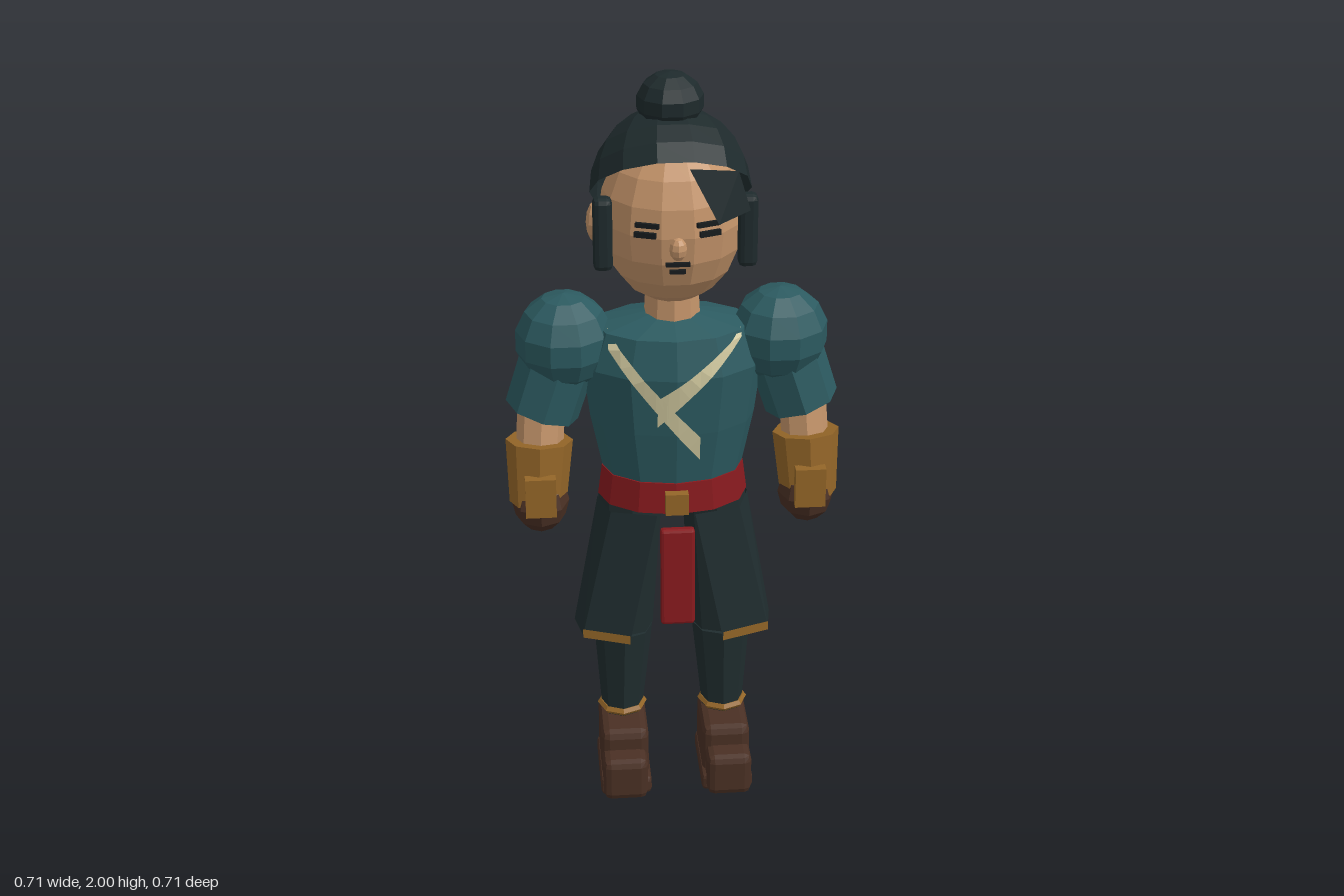
import * as THREE from 'three';
import { RoundedBoxGeometry } from 'three/addons/geometries/RoundedBoxGeometry.js';

const mat = (name, color, side = THREE.FrontSide) => {
  const m = new THREE.MeshStandardMaterial({ color, flatShading: true, side });
  m.name = name;
  return m;
};

// Quad strip between rows of [x, y, z] points of equal length
function loft(rows, closed = false) {
  const n = rows[0].length, pos = rows.flat(2), idx = [];
  for (let r = 0; r < rows.length - 1; r++) {
    for (let i = 0; i < (closed ? n : n - 1); i++) {
      const a = r * n + i, b = r * n + (i + 1) % n;
      idx.push(a, b, a + n, b, b + n, a + n);
    }
  }
  const g = new THREE.BufferGeometry();
  g.setAttribute('position', new THREE.Float32BufferAttribute(pos, 3));
  g.setIndex(idx);
  g.computeVertexNormals();
  return g;
}

export function createModel() {
  const skin = mat('skin', 0xc4946a);
  const teal = mat('teal cloth', 0x2c5a60);
  const dark = mat('dark cloth', 0x202d2f, THREE.DoubleSide);
  const hair = mat('hair', 0x1e2a2c, THREE.DoubleSide);
  const gold = mat('gold leather', 0x946628, THREE.DoubleSide);
  const brown = mat('brown leather', 0x4a3024);
  const red = mat('red sash', 0x881a1e);
  const cream = mat('cream lapel', 0xcdc59c, THREE.DoubleSide);
  const ink = mat('face marks', 0x171b1d);

  const body = new THREE.Group();
  body.name = 'figure';
  const add = (name, geo, material, x = 0, y = 0, z = 0, parent = body) => {
    const m = new THREE.Mesh(geo, material);
    m.name = name;
    m.position.set(x, y, z);
    parent.add(m);
    return m;
  };
  const ball = (rx, ry, rz, w = 10, h = 7) => new THREE.SphereGeometry(1, w, h).scale(rx, ry, rz);
  // Tapered limb from point a to point b
  const limb = (name, a, b, ra, rb, sides, material) => {
    const A = new THREE.Vector3(...a), B = new THREE.Vector3(...b);
    const d = A.clone().sub(B);
    const m = add(name, new THREE.CylinderGeometry(ra, rb, d.length(), sides), material);
    m.position.copy(A).add(B).multiplyScalar(0.5);
    m.quaternion.setFromUnitVectors(new THREE.Vector3(0, 1, 0), d.normalize());
    return m;
  };

  // Torso, belt and neck
  const profile = [[0, 0.93], [0.18, 0.93], [0.215, 1.1], [0.235, 1.26], [0.2, 1.36], [0.07, 1.39], [0, 1.39]];
  const depth = 0.68, torsoZ = -0.02;
  add('torso', new THREE.LatheGeometry(profile.map(p => new THREE.Vector2(...p)), 12).scale(1, 1, depth), teal, 0, 0, torsoZ);
  add('belt', new THREE.CylinderGeometry(0.187, 0.198, 0.085, 12).scale(1, 1, 0.7), red, 0, 0.912, torsoZ);
  add('buckle', new THREE.BoxGeometry(0.06, 0.06, 0.025), gold, 0, 0.905, 0.122);
  const sash = add('sashTail', new RoundedBoxGeometry(0.09, 0.28, 0.028, 1, 0.008), red, 0, 0.7, 0.145);
  sash.rotation.x = -0.04;
  add('neck', new THREE.CylinderGeometry(0.068, 0.075, 0.12, 10), skin, 0, 1.42, -0.03);

  // Lapels laid on the front of the torso
  const onTorso = (x, y) => {
    let r = 0.2;
    for (let i = 1; i < 5; i++) {
      const [r0, y0] = profile[i], [r1, y1] = profile[i + 1];
      if (y >= y0 && y <= y1) r = r0 + (r1 - r0) * (y - y0) / (y1 - y0);
    }
    return [x, y, torsoZ + depth * Math.sqrt(Math.max(r * r - x * x, 0)) + 0.005];
  };
  const lapel = (name, x0, y0, x1, y1, w0, w1) => {
    const rows = [];
    for (let i = 0; i <= 8; i++) {
      const t = i / 8, x = x0 + (x1 - x0) * t, y = y0 + (y1 - y0) * t, w = w0 + (w1 - w0) * t;
      rows.push([onTorso(x, y + w), onTorso(x, y - w)]);
    }
    add(name, loft(rows), cream);
  };
  lapel('lapelRight', -0.17, 1.345, 0.06, 1.06, 0.02, 0.035);
  lapel('lapelLeft', 0.17, 1.355, -0.05, 1.17, 0.008, 0.04);

  // Head, nose and face marks
  add('head', ball(0.185, 0.23, 0.185, 14, 10), skin, 0, 1.65, -0.03);
  add('nose', ball(0.022, 0.03, 0.022, 8, 6), skin, 0, 1.625, 0.153);
  for (const s of [-1, 1]) {
    add('ear', ball(0.022, 0.052, 0.034, 8, 6), skin, s * 0.195, 1.635, -0.025);
    const brow = add('brow', new THREE.BoxGeometry(0.06, 0.012, 0.009), ink, s * 0.075, 1.685, 0.143);
    const eye = add('eye', new THREE.BoxGeometry(0.055, 0.014, 0.009), ink, s * 0.08, 1.66, 0.141);
    brow.rotation.y = eye.rotation.y = s * 0.35;
    add('sideLock', new RoundedBoxGeometry(0.048, 0.19, 0.048, 1, 0.014), hair, s * 0.18, 1.64, 0.07);
  }
  add('moustache', new THREE.BoxGeometry(0.06, 0.01, 0.009), ink, 0, 1.583, 0.148);
  add('mouth', new THREE.BoxGeometry(0.04, 0.01, 0.009), ink, 0, 1.562, 0.143);

  // Hair cap tilted back, bun, ponytail and fringe
  const cap = add('hairCap', new THREE.SphereGeometry(0.205, 14, 6, 0, Math.PI * 2, 0, Math.PI / 2).scale(1, 1.05, 1), hair, 0, 1.7, -0.062);
  cap.rotation.x = -0.68;
  add('bun', ball(0.086, 0.076, 0.086), hair, 0, 1.924, -0.085);
  const tail = [[1.94, -0.11, 0.03, 0.03], [1.8, -0.215, 0.06, 0.04], [1.62, -0.265, 0.048, 0.035], [1.47, -0.295, 0.025, 0.015], [1.46, -0.295, 0.001, 0.001]];
  add('ponytail', loft(tail.map(([y, z, w, d]) =>
    [[-w, y, z + d], [w, y, z + d], [w, y, z - d * 0.6], [0, y, z - d], [-w, y, z - d * 0.6]]), true), hair);
  add('fringe', loft([[[0.03, 1.82, 0.125], [0.15, 1.81, 0.12]], [[0.1, 1.685, 0.152], [0.18, 1.71, 0.125]]]), hair);

  for (const s of [-1, 1]) {
    // Arm
    add('puffShoulder', ball(0.128, 0.128, 0.128, 10, 7), teal, s * 0.278, 1.315, -0.03);
    limb('sleeve', [s * 0.285, 1.29, -0.03], [s * 0.34, 1.12, -0.025], 0.1, 0.098, 8, teal);
    limb('forearm', [s * 0.34, 1.16, -0.025], [s * 0.352, 0.98, 0.005], 0.062, 0.062, 8, skin);
    limb('gauntlet', [s * 0.35, 1.045, 0.0], [s * 0.358, 0.875, 0.025], 0.088, 0.075, 8, gold);
    add('gauntletPlate', new THREE.BoxGeometry(0.08, 0.11, 0.03), gold, s * 0.352, 0.925, 0.095);
    add('hand', ball(0.076, 0.082, 0.085, 8, 6), brown, s * 0.352, 0.878, 0.025);

    // Leg and boot
    limb('thigh', [s * 0.11, 0.88, -0.03], [s * 0.135, 0.462, -0.03], 0.085, 0.082, 8, dark);
    limb('shin', [s * 0.135, 0.453, -0.03], [s * 0.14, 0.17, -0.03], 0.08, 0.055, 8, dark);
    const cuff = add('ankleBand', new THREE.TorusGeometry(0.058, 0.011, 5, 8), gold, s * 0.14, 0.2, -0.03);
    cuff.rotation.x = Math.PI / 2;
    add('boot', new RoundedBoxGeometry(0.13, 0.18, 0.2, 1, 0.022), brown, s * 0.14, 0.095, 0.01);
    add('bootToe', new RoundedBoxGeometry(0.122, 0.125, 0.12, 1, 0.02), brown, s * 0.143, 0.067, 0.115);
    add('bootSole', new RoundedBoxGeometry(0.14, 0.05, 0.23, 1, 0.012), brown, s * 0.14, 0.025, 0.025);

    // Flared coat tail wrapped round the outside of the leg, with a front trim
    const top = [[0.05, 0.86, 0.105], [0.17, 0.86, 0.075], [0.2, 0.86, -0.02], [0.17, 0.86, -0.12], [0.04, 0.86, -0.15]];
    const hem = [[0.125, 0.485, 0.12], [0.25, 0.495, 0.09], [0.268, 0.475, -0.03], [0.248, 0.46, -0.165], [0.1, 0.46, -0.195]];
    const side = row => row.map(([x, y, z]) => [s * x, y, z]);
    add('coatTail', loft([side(top), side(hem)]), dark);
    const edge = [hem[0], hem[1]];
    add('coatTrim', loft([0.022, -0.004].map(dy => side(edge.map(([x, y, z]) => [x, y + dy, z + 0.006])))), gold);
  }

  // The figure stands turned toward its left
  body.rotation.y = Math.PI / 4;
  const model = new THREE.Group();
  model.name = 'model';
  model.add(body);
  return model;
}
